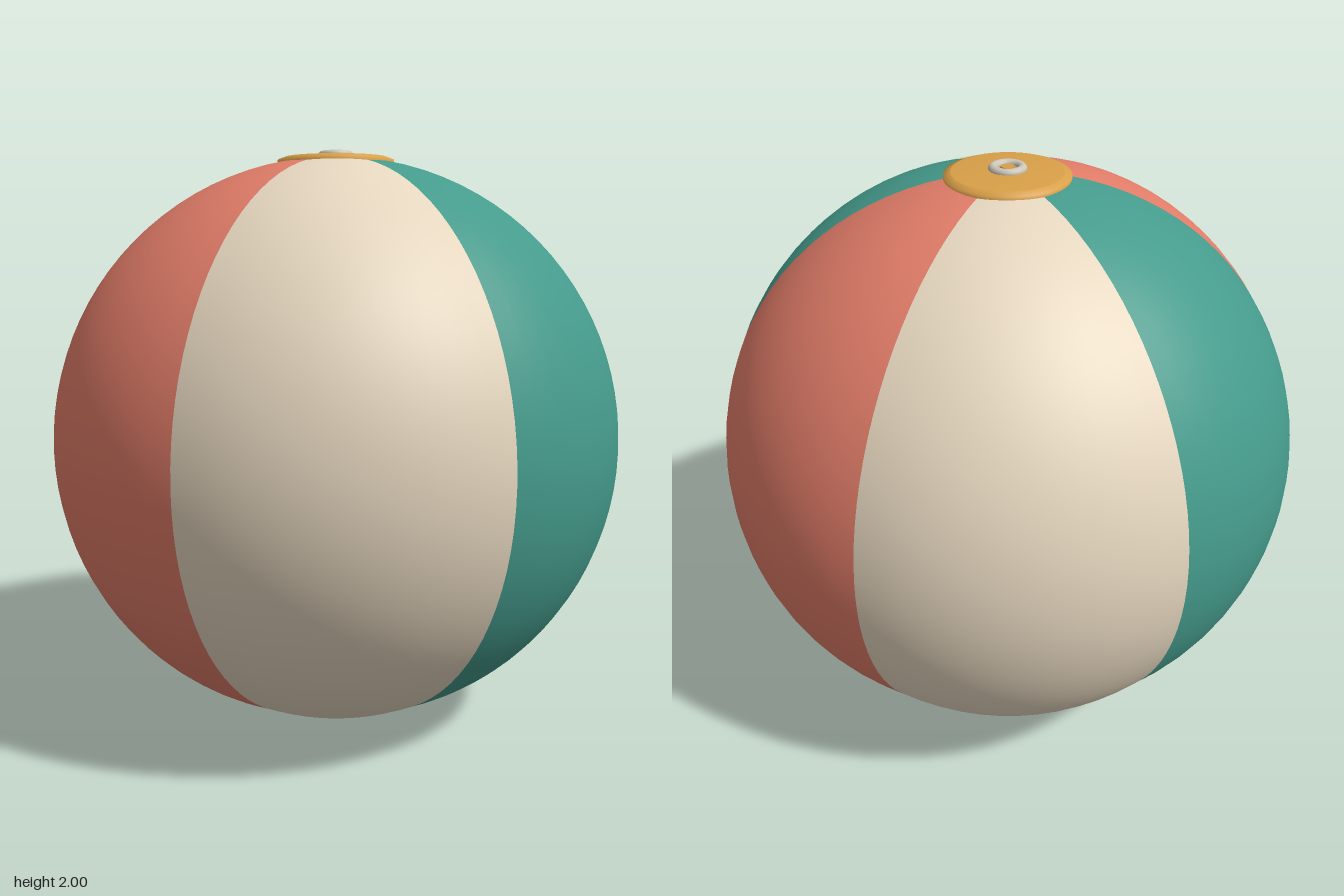
import * as THREE from 'three';

const paint = (name, color) => {
  const m = new THREE.MeshStandardMaterial({ color });
  m.name = name;
  return m;
};

const CENTRE = 0.99, RADIUS = 0.987, BULGE = 0.01, PANELS = 6;

// One gore of the ball, swelling slightly between its two seams
function panelGeometry(k) {
  const arc = (Math.PI * 2) / PANELS;
  const geo = new THREE.SphereGeometry(RADIUS, 12, 48, Math.PI - (k + 1) * arc, arc);
  const pos = geo.attributes.position;
  const p = new THREE.Vector3();
  for (let i = 0; i < pos.count; i++) {
    p.fromBufferAttribute(pos, i);
    const across = Math.sin(Math.PI * (i % 13) / 12);
    const around = Math.hypot(p.x, p.z) / RADIUS;
    p.multiplyScalar(1 + BULGE * across * around / RADIUS);
    pos.setXYZ(i, p.x, p.y, p.z);
  }
  geo.computeVertexNormals();
  geo.translate(0, CENTRE, 0);
  return geo;
}

// Turned part from [radius, height] pairs, listed from bottom to top
const turned = (profile, sides = 48) =>
  new THREE.LatheGeometry(profile.map(([r, y]) => new THREE.Vector2(r, y)), sides);

export function createModel() {
  const teal = paint('teal', 0x459b8c);
  const cream = paint('cream', 0xe6d7bf);
  const coral = paint('coral', 0xe27d69);
  const gold = paint('gold', 0xd9a048);
  const grey = paint('valve grey', 0xcdc6ba);

  const ball = new THREE.Group();
  ball.name = 'beachBall';
  const add = (name, geo, material) => {
    const mesh = new THREE.Mesh(geo, material);
    mesh.name = name;
    ball.add(mesh);
    return mesh;
  };

  // Six coloured panels
  for (let k = 0; k < PANELS; k++) {
    add(`panel${k + 1}`, panelGeometry(k), [teal, cream, coral][k % 3]);
  }

  // Round end caps
  add('topCapRim', turned([[0.203, 1.952], [0.203, 1.968], [0.18, 1.977]]), gold);
  add('topCap', turned([[0.18, 1.977], [0.1, 1.983], [0, 1.985]]), gold);
  add('bottomCap', turned([[0, 0], [0.1, 0.003], [0.18, 0.011], [0.2, 0.017], [0.2, 0.03]]), cream);

  // Inflation valve
  const ring = add('valveRing', new THREE.TorusGeometry(0.047, 0.015, 12, 32), grey);
  ring.rotation.x = Math.PI / 2;
  ring.position.y = 1.985;
  const plug = add('valvePlug', new THREE.CylinderGeometry(0.022, 0.022, 0.012, 24), gold);
  plug.position.y = 1.987;

  return ball;
}
